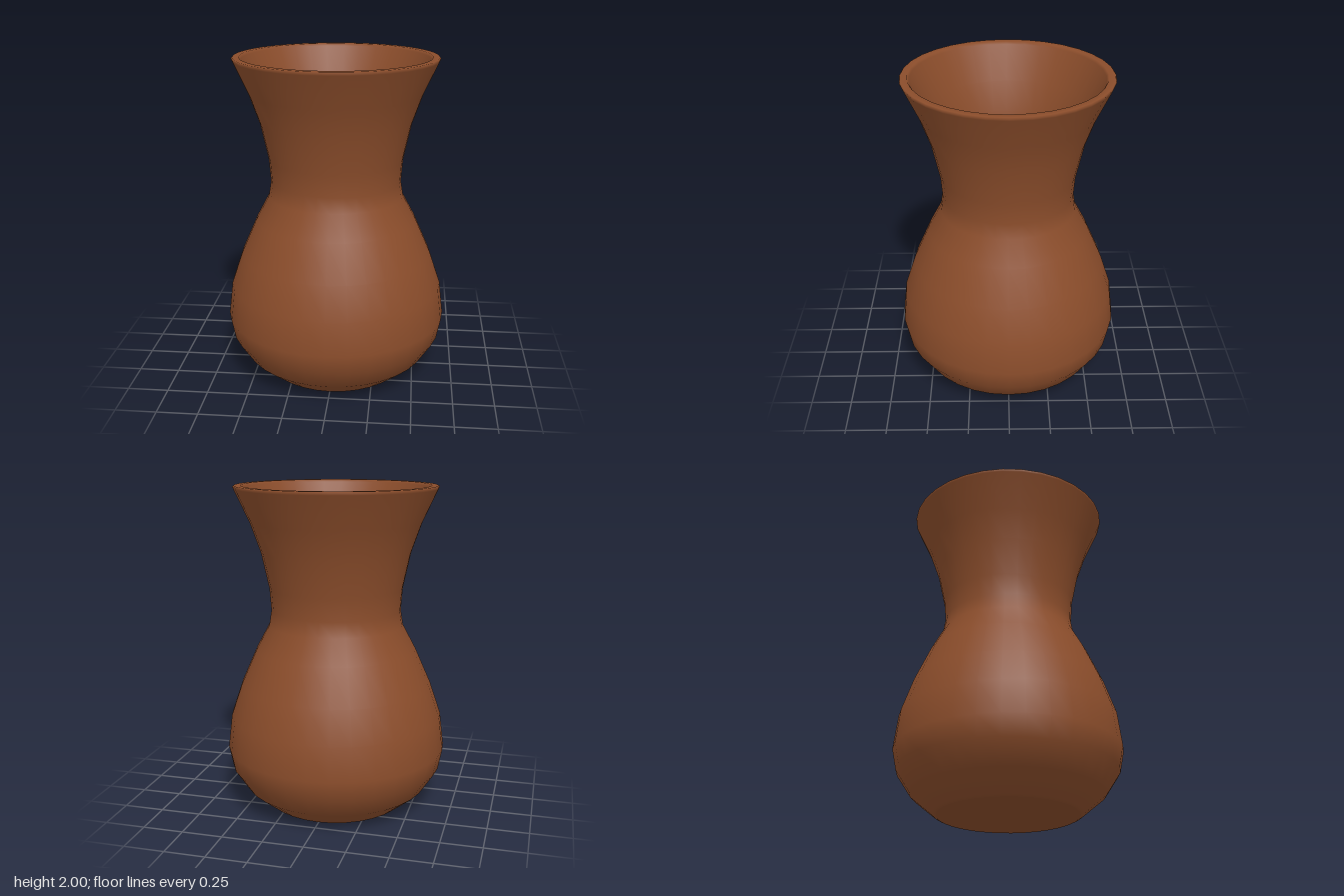
import * as THREE from 'three';

const SEGMENTS = 32;
const clay = new THREE.MeshStandardMaterial({ color: 0x8b4d2b });

function lathe(name, points) {
  const profile = points.map(([r, y]) => new THREE.Vector2(r, y));
  const mesh = new THREE.Mesh(new THREE.LatheGeometry(profile, SEGMENTS), clay);
  mesh.name = name;
  return mesh;
}

export function createModel() {
  const group = new THREE.Group();
  group.name = 'vase';

  // Outer wall: rounded belly, narrow waist, flared mouth
  const outer = [
    [0.44, 0.01], [0.575, 0.12], [0.66, 0.25], [0.685, 0.375], [0.66, 0.58],
    [0.592, 0.78], [0.495, 1.0], [0.415, 1.15], [0.4, 1.245], [0.41, 1.38],
    [0.457, 1.6], [0.52, 1.78], [0.612, 1.98],
  ];

  // Inner wall follows the outer one at the wall thickness, top to bottom
  const inner = [
    [0.562, 1.985], [0.472, 1.78], [0.41, 1.6], [0.368, 1.38], [0.36, 1.245],
    [0.37, 1.13], [0.45, 0.98], [0.548, 0.76], [0.614, 0.57], [0.637, 0.38],
    [0.615, 0.27], [0.54, 0.155], [0.42, 0.06],
  ];

  // Softened lip joining the two walls
  const lip = [[0.617, 1.993], [0.611, 2.0], [0.572, 2.0]];

  group.add(lathe('body', [[0.42, 0], ...outer, ...lip, ...inner]));
  group.add(lathe('base', [[0, 0], [0.42, 0]]));
  group.add(lathe('innerFloor', [[0.42, 0.06], [0, 0.06]]));
  return group;
}
